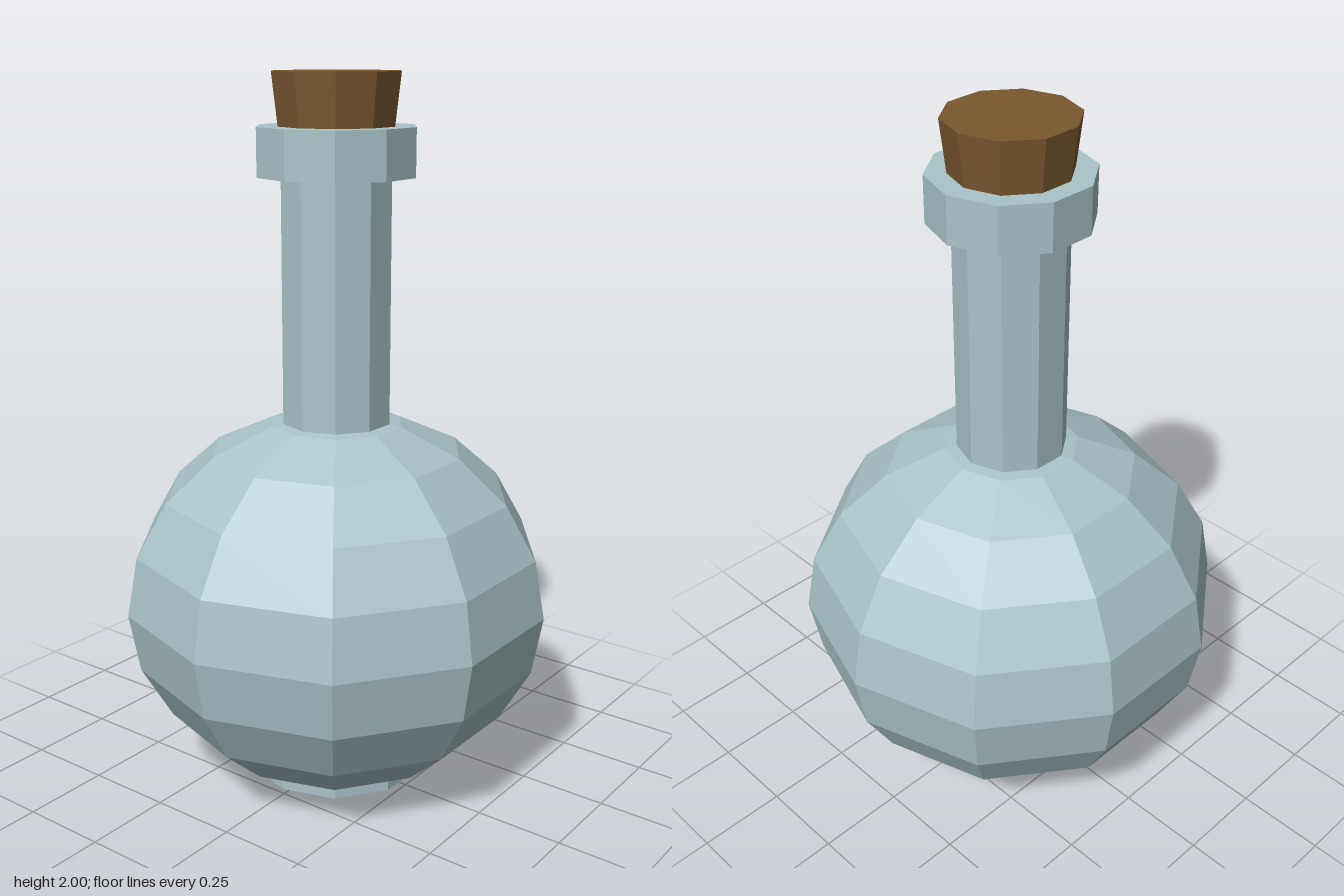
import * as THREE from 'three';

const SIDES = 10;

export function createModel() {
  const model = new THREE.Group();
  model.name = 'corkedFlask';
  const glass = new THREE.MeshStandardMaterial({ color: 0xa9c4c9, flatShading: true });
  const cork = new THREE.MeshStandardMaterial({ color: 0x7a5730, flatShading: true });

  const add = (name, geometry, material) => {
    const mesh = new THREE.Mesh(geometry, material);
    mesh.name = name;
    model.add(mesh);
  };

  // Ten-sided tapered ring section from y0 to y1, with corners on the x axis
  const section = (name, rBottom, rTop, y0, y1, material) => {
    const g = new THREE.CylinderGeometry(rTop, rBottom, y1 - y0, SIDES, 1, false, Math.PI / 2);
    add(name, g.translate(0, (y0 + y1) / 2, 0), material);
  };

  // Round body, slightly squashed
  const body = new THREE.SphereGeometry(0.605, SIDES, 10);
  add('body', body.scale(1, 0.54 / 0.605, 1).translate(0, 0.54, 0), glass);

  // Foot, neck and lip
  section('foot', 0.257, 0.257, 0.018, 0.055, glass);
  section('neck', 0.154, 0.154, 0.95, 1.78, glass);
  section('lip', 0.219, 0.219, 1.73, 1.86, glass);

  // Stopper, widening towards the top
  section('stopper', 0.15, 0.177, 1.77, 2, cork);

  return model;
}
